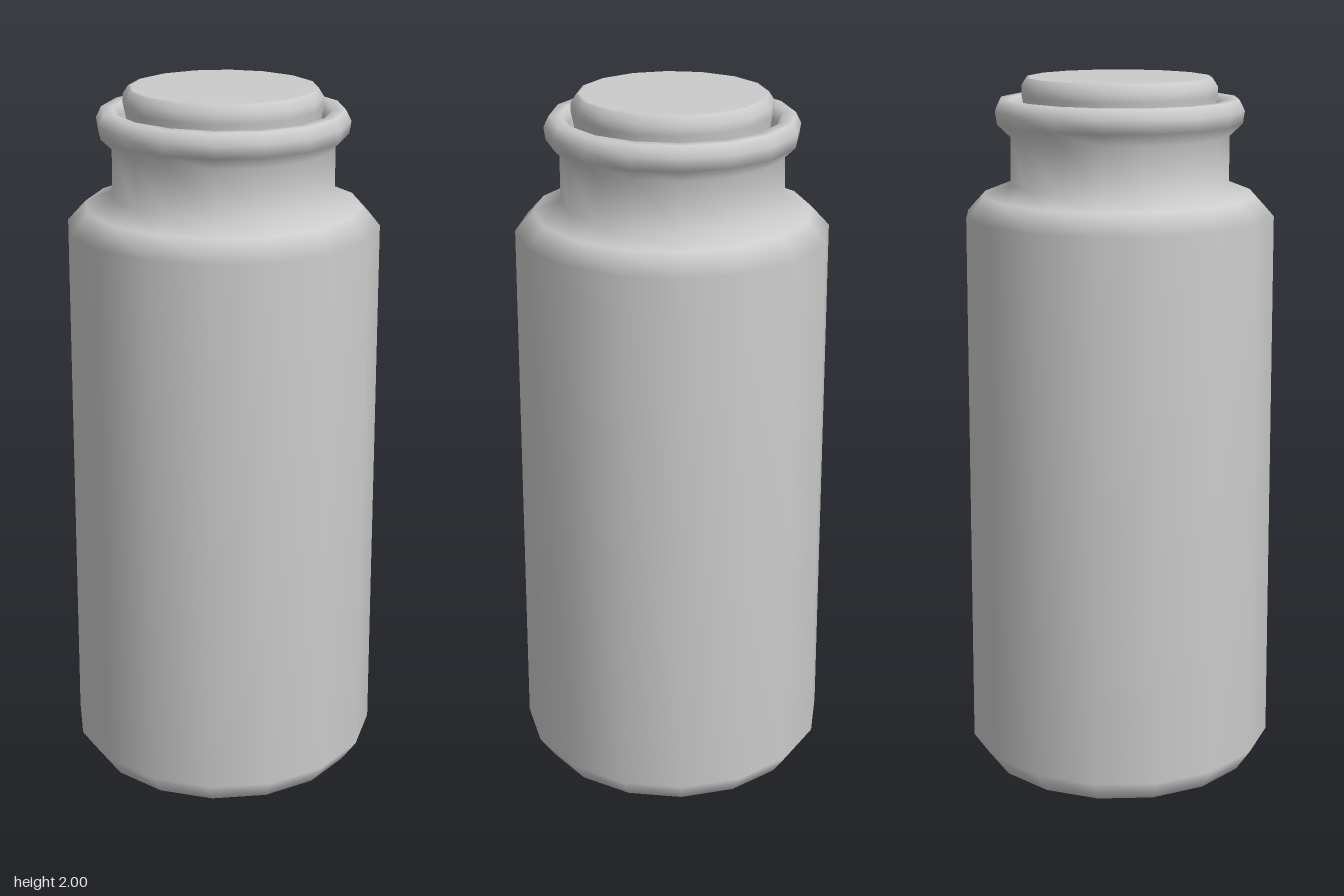
import * as THREE from 'three';

const SIDES = 16;

// Revolves a [radius, height] profile, listed from bottom to top on the outside
function turned(name, profile, material) {
  const points = profile.map(([r, y]) => new THREE.Vector2(r, y));
  const mesh = new THREE.Mesh(new THREE.LatheGeometry(points, SIDES), material);
  mesh.name = name;
  return mesh;
}

export function createModel() {
  const group = new THREE.Group();
  group.name = 'stopperedBottle';
  const material = new THREE.MeshStandardMaterial({ color: 0xcccccc, side: THREE.DoubleSide });

  // Base, slightly tapered body, shoulder, neck and rolled lip, then down inside the mouth
  group.add(turned('bottle', [
    [0, 0], [0.385, 0], [0.402, 0.005], [0.446, 0.07],
    [0.436, 1.62], [0.385, 1.675], [0.31, 1.705],
    [0.308, 1.84], [0.345, 1.875], [0.35, 1.91], [0.335, 1.94],
    [0.302, 1.94], [0.284, 1.915], [0.28, 1.8],
  ], material));

  // Stopper sitting in the mouth, with a bevelled top edge
  group.add(turned('stopper', [
    [0, 1.8], [0.265, 1.8], [0.267, 1.91], [0.275, 1.95], [0.275, 1.975],
    [0.26, 1.998], [0.252, 2], [0, 2],
  ], material));

  return group;
}
